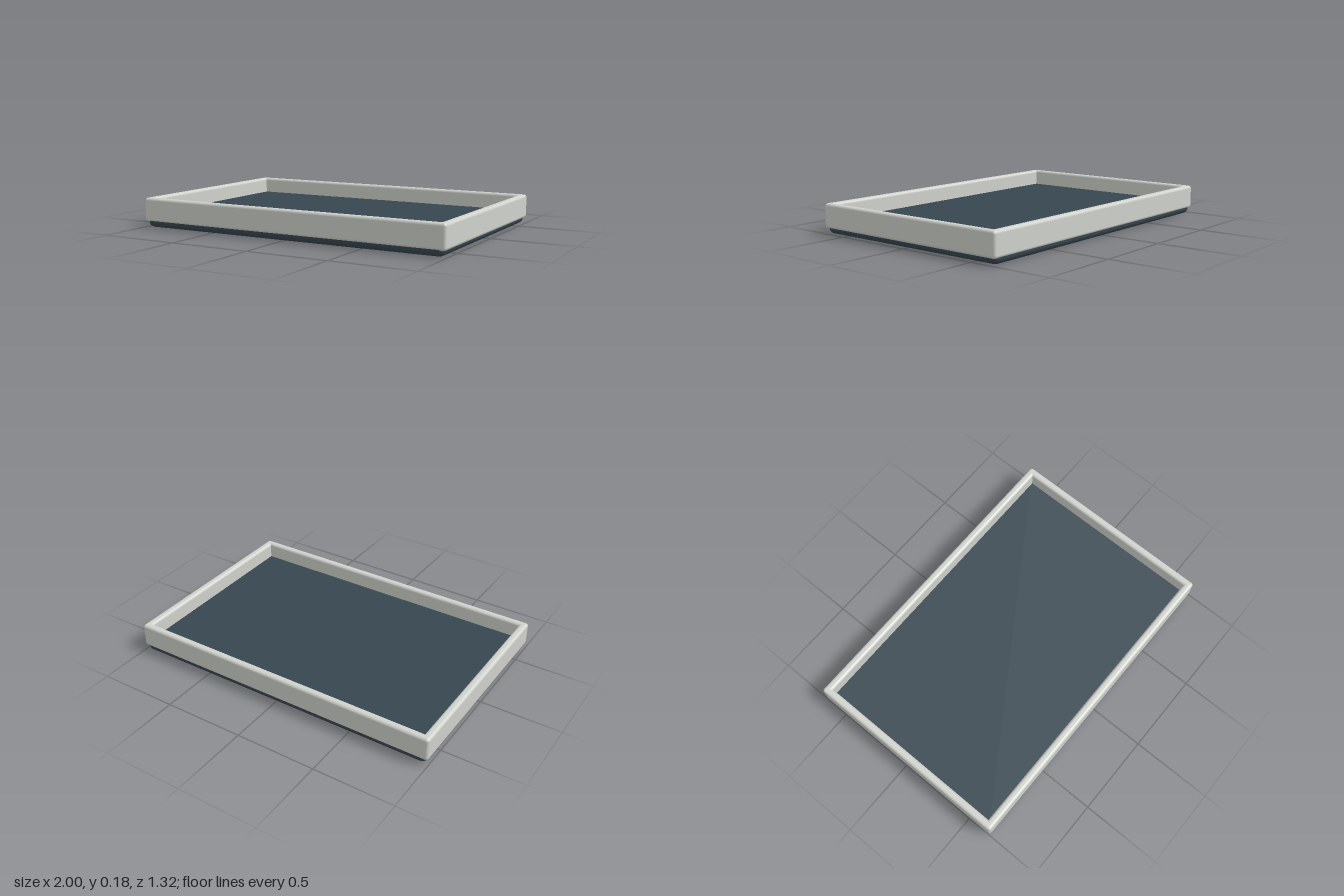
import * as THREE from 'three';
import { RoundedBoxGeometry } from 'three/addons/geometries/RoundedBoxGeometry.js';

export function createModel() {
  const model = new THREE.Group();
  model.name = 'tray';
  const baseMaterial = new THREE.MeshStandardMaterial({ color: 0x37474f });
  const railMaterial = new THREE.MeshStandardMaterial({ color: 0xd0d2cd });

  function slab(name, size, radius, position, material) {
    const mesh = new THREE.Mesh(new RoundedBoxGeometry(...size, 4, radius), material);
    mesh.name = name;
    mesh.position.set(...position);
    model.add(mesh);
  }

  // Floor slab with rounded lower edges
  const floorTop = 0.083;
  slab('base', [1.97, floorTop, 1.31], 0.035, [0, floorTop / 2, 0], baseMaterial);

  // Raised rim of four rounded rails that overlap at the corners
  const length = 2, depth = 1.32, rail = 0.048, bottom = 0.035, top = 0.182;
  const height = top - bottom, y = (top + bottom) / 2, radius = 0.018;
  for (const side of [1, -1]) {
    slab(side > 0 ? 'frontRail' : 'backRail', [length, height, rail], radius,
      [0, y, side * (depth - rail) / 2], railMaterial);
    slab(side > 0 ? 'leftRail' : 'rightRail', [rail, height, depth], radius,
      [side * (length - rail) / 2, y, 0], railMaterial);
  }
  return model;
}
